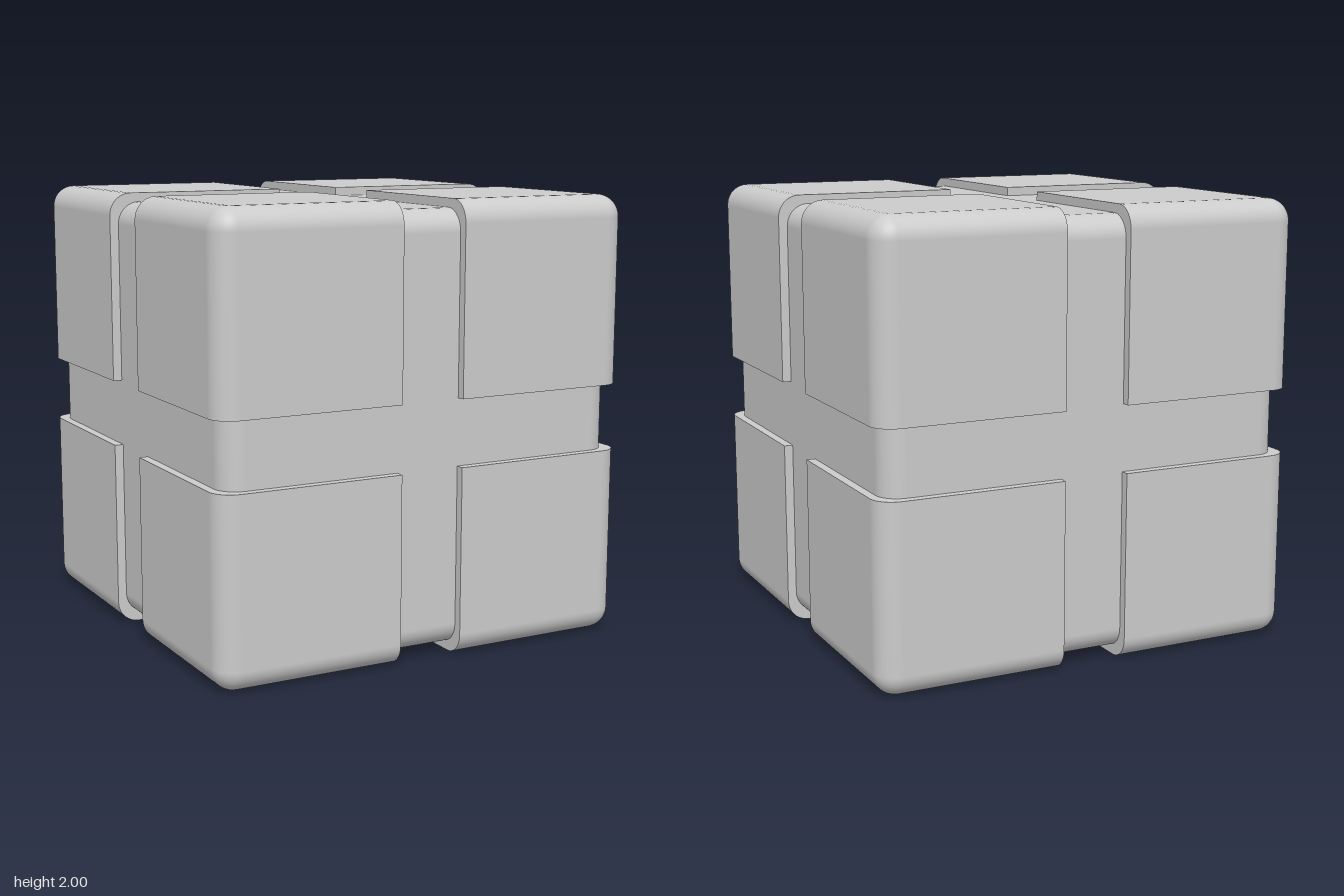
import * as THREE from 'three';
import { RoundedBoxGeometry } from 'three/addons/geometries/RoundedBoxGeometry.js';

const GAP = 0.15;    // half width of the channel between blocks
const REACH = 0.85;  // side of each corner block
const RADIUS = 0.1;  // rounding of the outer edges

// One octant of a rounded box: vertices on the inner side are pressed flat
// onto the three middle planes, so only the outward edges stay rounded.
function cornerGeometry(signs) {
  const source = new RoundedBoxGeometry(2 * REACH, 2 * REACH, 2 * REACH, 6, RADIUS);
  const pos = source.attributes.position;
  const nor = source.attributes.normal;
  const positions = [], normals = [];
  const ab = new THREE.Vector3(), ac = new THREE.Vector3();

  for (let i = 0; i < pos.count; i += 3) {
    const points = [], dirs = [];
    for (let k = 0; k < 3; k++) {
      const p = new THREE.Vector3().fromBufferAttribute(pos, i + k);
      for (let a = 0; a < 3; a++) {
        if (p.getComponent(a) * signs[a] < 0) p.setComponent(a, 0);
      }
      points.push(p);
      dirs.push(new THREE.Vector3().fromBufferAttribute(nor, i + k));
    }
    // skip triangles that collapsed
    ab.subVectors(points[1], points[0]);
    ac.subVectors(points[2], points[0]);
    if (ab.cross(ac).length() < 1e-9) continue;

    // inner walls get a flat normal
    for (let a = 0; a < 3; a++) {
      if (points.every((p) => p.getComponent(a) === 0)) {
        dirs.forEach((d) => d.set(0, 0, 0).setComponent(a, -signs[a]));
      }
    }
    points.forEach((p) => positions.push(p.x, p.y, p.z));
    dirs.forEach((d) => normals.push(d.x, d.y, d.z));
  }

  const geometry = new THREE.BufferGeometry();
  geometry.setAttribute('position', new THREE.Float32BufferAttribute(positions, 3));
  geometry.setAttribute('normal', new THREE.Float32BufferAttribute(normals, 3));
  return geometry;
}

export function createModel() {
  const model = new THREE.Group();
  model.name = 'segmentedCube';
  const material = new THREE.MeshStandardMaterial({ color: 0xcccccc });

  // inner core, seen at the bottom of the channels
  const core = new THREE.Mesh(new RoundedBoxGeometry(1.92, 1.92, 1.92, 6, RADIUS), material);
  core.name = 'core';
  core.position.y = 1;
  model.add(core);

  // eight corner blocks
  for (const x of [-1, 1]) {
    for (const y of [-1, 1]) {
      for (const z of [-1, 1]) {
        const block = new THREE.Mesh(cornerGeometry([x, y, z]), material);
        block.name = `${y > 0 ? 'upper' : 'lower'}${z > 0 ? 'Front' : 'Back'}${x > 0 ? 'Left' : 'Right'}Block`;
        block.position.set(x * GAP, 1 + y * GAP, z * GAP);
        model.add(block);
      }
    }
  }
  return model;
}
